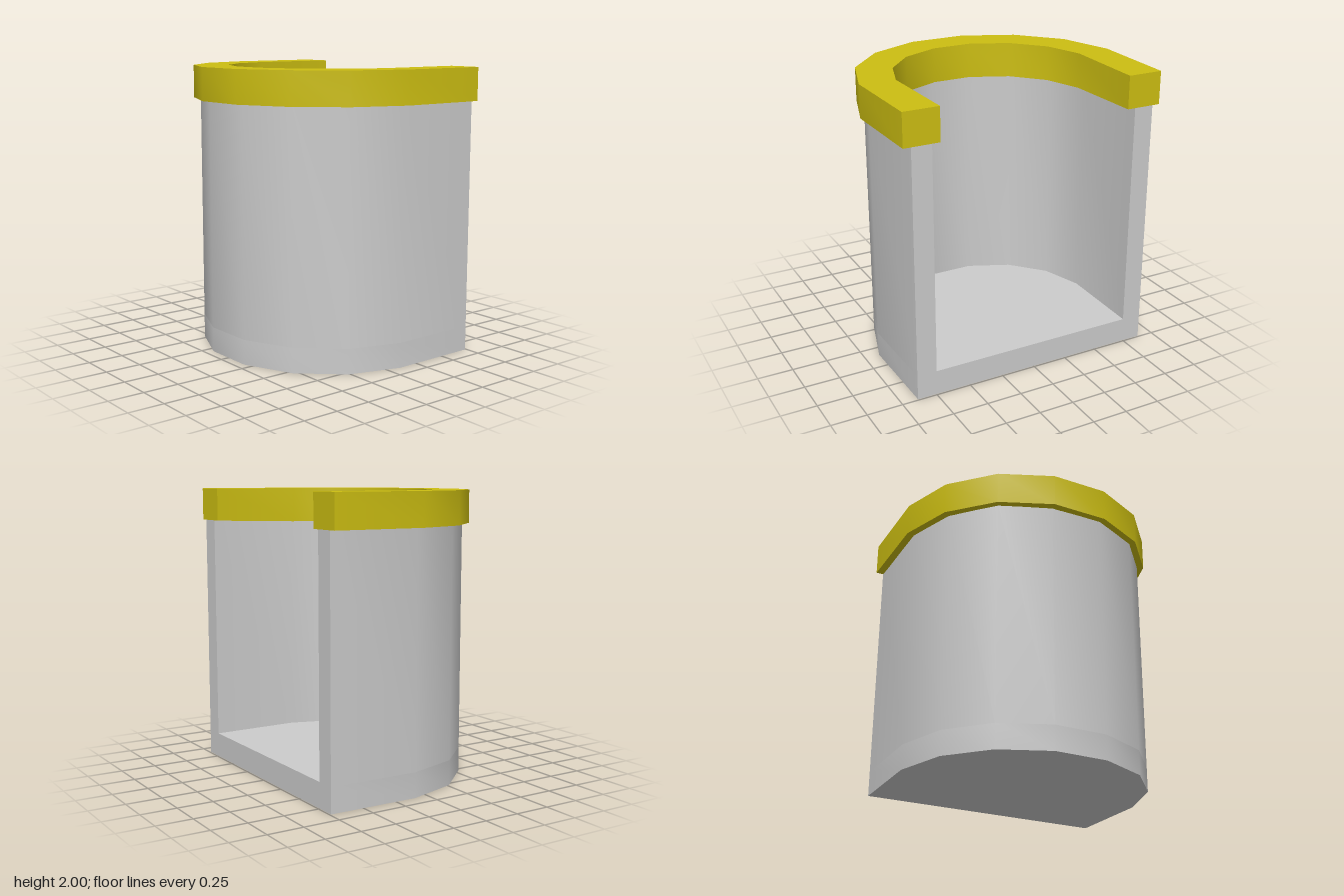
import * as THREE from 'three';
import { toCreasedNormals } from 'three/addons/utils/BufferGeometryUtils.js';

// Half outlines [x, z], running from the open +x side round to the back of the curve
const RIM_OUTER = [[0.74, 0.938], [0.09, 0.948], [-0.29, 0.825], [-0.58, 0.56], [-0.74, 0.2]];
const RIM_INNER = [[0.74, 0.688], [0.11, 0.7], [-0.16, 0.607], [-0.378, 0.41], [-0.496, 0.14]];
const WALL_OUTER = [[0.74, 0.885], [0.1, 0.895], [-0.265, 0.783], [-0.54, 0.535], [-0.69, 0.19]];
const WALL_INNER = [[0.74, 0.745], [0.11, 0.75], [-0.185, 0.655], [-0.42, 0.445], [-0.55, 0.155]];

// Mirror a half outline across z = 0 into a full U
const mirrored = (half) => [...half, ...half.map(([x, z]) => [x, -z]).reverse()];

// Extrude an outline upwards from y0 to y1
function extrudeUp(points, y0, y1) {
  const shape = new THREE.Shape(points.map(([x, z]) => new THREE.Vector2(x, z)));
  const geo = new THREE.ExtrudeGeometry(shape, { depth: y1 - y0, bevelEnabled: false });
  return geo.rotateX(-Math.PI / 2).translate(0, y0, 0);
}

function addPart(group, name, geo, color) {
  const material = new THREE.MeshStandardMaterial({ color });
  const mesh = new THREE.Mesh(toCreasedNormals(geo, 0.6), material);
  mesh.name = name;
  group.add(mesh);
}

export function createModel() {
  const group = new THREE.Group();
  group.name = 'openContainer';
  const floorTop = 0.175, wallTop = 1.77;
  const band = (outer, inner) => [...mirrored(outer), ...mirrored(inner).reverse()];

  // Solid base and the U-shaped wall standing on it
  addPart(group, 'base', extrudeUp(mirrored(WALL_OUTER), 0, floorTop), 0xcccccc);
  addPart(group, 'wall', extrudeUp(band(WALL_OUTER, WALL_INNER), floorTop, wallTop), 0xcccccc);

  // Rim, its inner lower edge dipping slightly round the curve
  const rim = extrudeUp(band(RIM_OUTER, RIM_INNER), wallTop, 2);
  const pos = rim.attributes.position;
  for (let i = 0; i < pos.count; i++) {
    const x = pos.getX(i), z = Math.abs(pos.getZ(i));
    const inner = RIM_INNER.some(([a, b]) => a < 0.7 && Math.hypot(a - x, b - z) < 0.001);
    if (inner && pos.getY(i) < 1.9) pos.setY(i, wallTop - 0.02);
  }
  addPart(group, 'rim', rim, 0xccbe12);
  return group;
}
